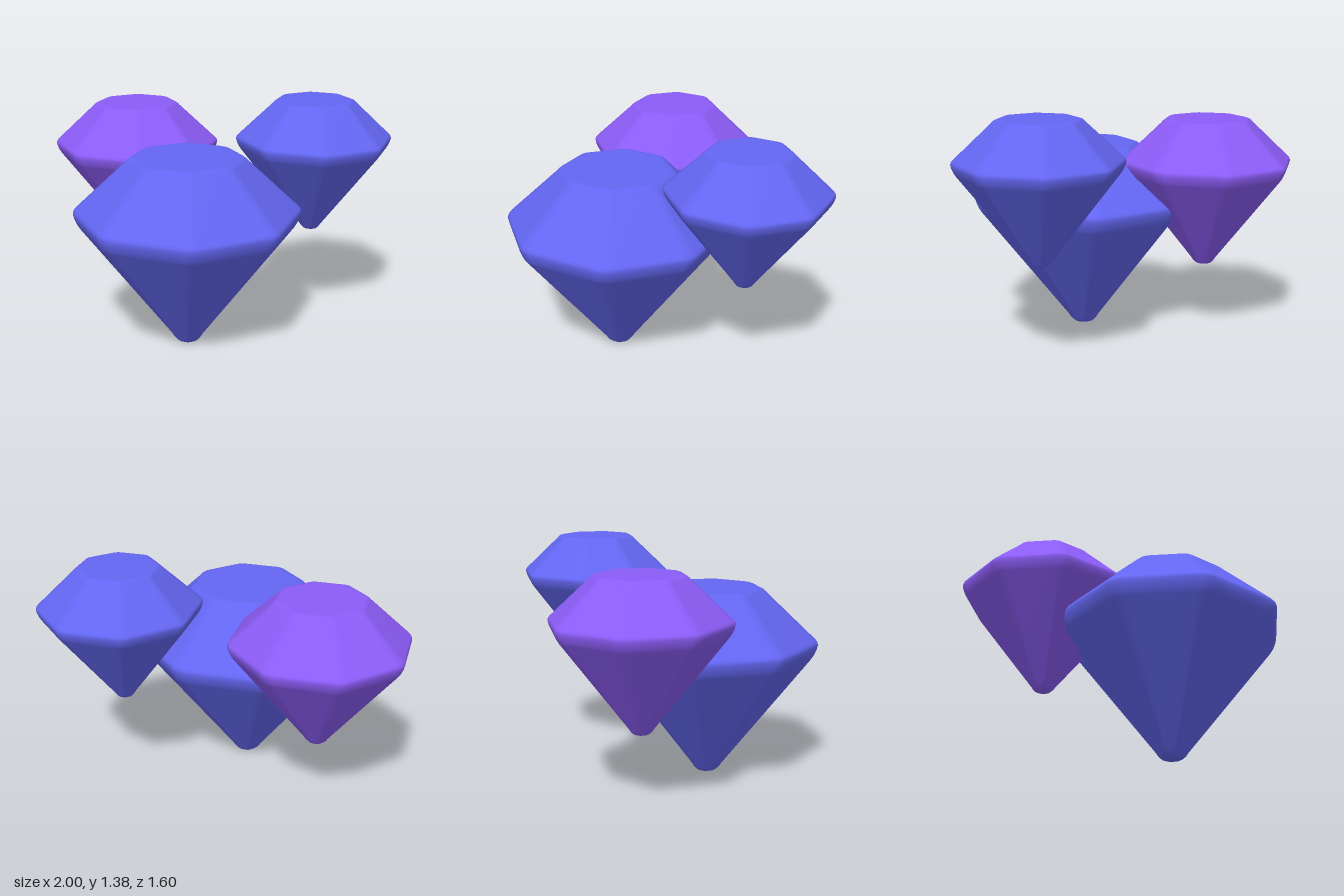
import * as THREE from 'three';

// Half outline of a cut gem from tip to table: [apothem, height]
const PROFILE = [
  [0, 0], [0.035, 0], [0.058, 0.008], [0.076, 0.025], [0.09, 0.048],
  [0.575, 0.714], [0.59, 0.74], [0.602, 0.77], [0.608, 0.797], [0.604, 0.812], [0.594, 0.825],
  [0.325, 1.094], [0.316, 1.105], [0.304, 1.115], [0.285, 1.122], [0.265, 1.123], [0, 1.123],
];
const SIDES = 8;
const ARC = 4; // steps around each softened corner

// One octagonal ring with rounded corners, flats facing the axes
function ring(r, y) {
  const rho = Math.min(0.13, 0.18 * r + 0.02, r * 0.7);
  const half = Math.PI / SIDES;
  const d = (r - rho) / Math.cos(half);
  const pts = [];
  for (let k = 0; k < SIDES; k++) {
    const c = (2 * k + 1) * half;
    for (let s = 0; s <= ARC; s++) {
      const a = c - half + (2 * half * s) / ARC;
      pts.push(d * Math.cos(c) + rho * Math.cos(a), y, d * Math.sin(c) + rho * Math.sin(a));
    }
  }
  return pts;
}

// Skin the rings into one smooth surface with softened facet edges
function gemGeometry() {
  const n = SIDES * (ARC + 1);
  const index = [];
  for (let i = 0; i < PROFILE.length - 1; i++) {
    for (let j = 0; j < n; j++) {
      const a = i * n + j;
      const b = i * n + ((j + 1) % n);
      if (i > 0) index.push(a, a + n, b);
      if (i < PROFILE.length - 2) index.push(b, a + n, b + n);
      if (i === 0) index.push(a, a + n, b + n);
    }
  }
  const geo = new THREE.BufferGeometry();
  const positions = PROFILE.flatMap(([r, y]) => ring(r, y));
  geo.setAttribute('position', new THREE.Float32BufferAttribute(positions, 3));
  // Drop the duplicate tip triangles' zero-area partners by indexing only real faces
  geo.setIndex(index);
  geo.computeVertexNormals();
  return geo;
}

export function createModel() {
  const group = new THREE.Group();
  const geo = gemGeometry();
  const blue = new THREE.MeshStandardMaterial({ color: 0x6366f1 });
  const violet = new THREE.MeshStandardMaterial({ color: 0x8b5cf6 });

  // Large front gem with two smaller ones floating behind it
  const gems = [
    ['largeGem', blue, 1, 0, 0, 0.19],
    ['violetGem', violet, 0.769, -0.533, 0.424, -0.312],
    ['smallGem', blue, 0.702, 0.573, 0.588, -0.375],
  ];
  for (const [name, material, scale, x, y, z] of gems) {
    const gem = new THREE.Mesh(geo, material);
    gem.name = name;
    gem.scale.setScalar(scale);
    gem.position.set(x, y, z);
    group.add(gem);
  }
  return group;
}
